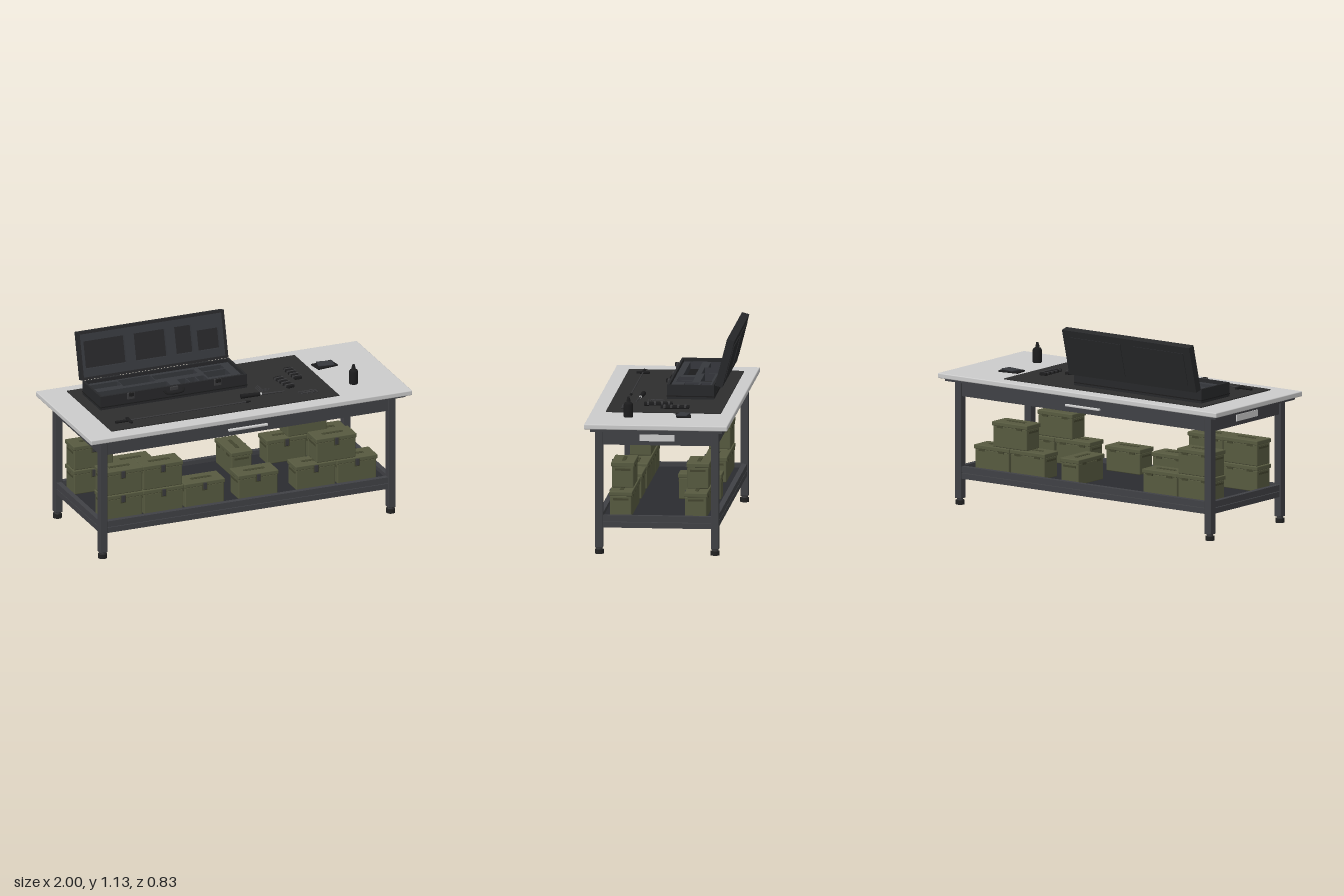
import * as THREE from 'three';
import { RoundedBoxGeometry } from 'three/addons/geometries/RoundedBoxGeometry.js';

const mat = (color) => new THREE.MeshStandardMaterial({ color });
const M = {
  top: mat(0xcccccc), frame: mat(0x404145), shelf: mat(0x2b2c30), rubber: mat(0x222222),
  pad: mat(0x2e2e2e), shell: mat(0x27282a), foam: mat(0x36383d), pocket: mat(0x2a2c30),
  olive: mat(0x575a40), oliveDark: mat(0x43452f), metal: mat(0x3a3a3c), black: mat(0x1c1c1d),
};

function add(parent, name, geometry, material, x = 0, y = 0, z = 0) {
  const mesh = new THREE.Mesh(geometry, material);
  mesh.name = name;
  mesh.position.set(x, y, z);
  parent.add(mesh);
  return mesh;
}
const box = (p, name, m, w, h, d, x, y, z) => add(p, name, new THREE.BoxGeometry(w, h, d), m, x, y, z);
const soft = (p, name, m, w, h, d, x, y, z, r = 0.005) =>
  add(p, name, new RoundedBoxGeometry(w, h, d, 2, r), m, x, y, z);
const cyl = (p, name, m, r1, r2, h, x, y, z, n = 16) =>
  add(p, name, new THREE.CylinderGeometry(r1, r2, h, n), m, x, y, z);
function group(parent, name, x = 0, y = 0, z = 0, turn = 0) {
  const g = new THREE.Group();
  g.name = name;
  g.position.set(x, y, z);
  g.rotation.y = turn;
  parent.add(g);
  return g;
}

// Rectangle [x0, y0, x1, y1] with rectangular holes, extruded along z
function slab(outer, holes, depth) {
  const corners = ([a, b, c, d]) => [[a, b], [c, b], [c, d], [a, d]].map((p) => new THREE.Vector2(...p));
  const shape = new THREE.Shape(corners(outer));
  shape.holes = holes.map((h) => new THREE.Path(corners(h).reverse()));
  return new THREE.ExtrudeGeometry(shape, { depth, bevelEnabled: false });
}

function buildTable(root) {
  const table = group(root, 'table');
  soft(table, 'tabletop', M.top, 2, 0.03, 0.826, 0, 0.752, 0, 0.006);
  box(table, 'topSupport', M.frame, 1.94, 0.018, 0.76, 0, 0.728, 0);
  for (const s of [-1, 1]) {
    for (const t of [-1, 1]) {
      const leg = group(table, 'leg', s * 0.897, 0, t * 0.334);
      soft(leg, 'legPost', M.frame, 0.046, 0.684, 0.046, 0, 0.378, 0, 0.004);
      cyl(leg, 'footStem', M.metal, 0.018, 0.018, 0.02, 0, 0.03, 0);
      cyl(leg, 'foot', M.rubber, 0.026, 0.026, 0.025, 0, 0.0125, 0, 20);
    }
    // Aprons with pulls on the long sides and plates on the short sides
    box(table, 'longApron', M.frame, 1.75, 0.084, 0.025, 0, 0.678, s * 0.334);
    box(table, 'sideApron', M.frame, 0.025, 0.084, 0.622, s * 0.897, 0.678, 0);
    soft(table, 'longPull', M.top, 0.245, 0.012, 0.02, 0, 0.674, s * 0.357, 0.003);
    box(table, 'sidePlate', M.top, 0.006, 0.038, 0.2, s * 0.911, 0.679, 0);
    // Lower shelf rails, each a raised lip above a bottom bar
    for (const [y, h] of [[0.169, 0.032], [0.2065, 0.036]]) {
      box(table, 'longShelfRail', M.frame, 1.75, h, 0.03, 0, y, s * 0.334);
      box(table, 'sideShelfRail', M.frame, 0.03, h, 0.622, s * 0.897, y, 0);
    }
    box(table, 'shelfRib', M.shelf, 1.76, 0.015, 0.015, 0, 0.182, s * 0.12);
  }
  box(table, 'shelfPanel', M.shelf, 1.77, 0.012, 0.645, 0, 0.194, 0);
}

// Storage can: tapered-looking body, overhanging lid, carry strap and latch
function storageCan(parent, x, y, z, turn = 0) {
  const can = group(parent, 'storageCan', x, y, z, turn);
  soft(can, 'canBody', M.olive, 0.242, 0.125, 0.124, 0, 0.0625, 0, 0.006);
  soft(can, 'canLid', M.olive, 0.252, 0.026, 0.134, 0, 0.136, 0, 0.005);
  soft(can, 'carryStrap', M.oliveDark, 0.13, 0.006, 0.022, 0, 0.149, 0, 0.002);
  for (const s of [-1, 1]) {
    box(can, 'sideRidge', M.oliveDark, 0.006, 0.012, 0.09, s * 0.121, 0.105, 0);
    box(can, 'lidHinge', M.oliveDark, 0.04, 0.014, 0.005, s * 0.07, 0.122, -0.066);
  }
  box(can, 'latchPlate', M.oliveDark, 0.032, 0.045, 0.006, 0, 0.118, 0.066);
  soft(can, 'latch', M.metal, 0.022, 0.042, 0.008, 0, 0.122, 0.07, 0.003);
}

function buildCans(root) {
  const cans = group(root, 'storageCans');
  const low = 0.2, high = 0.35, front = 0.217, back = -0.216;
  for (const x of [-0.746, -0.493, -0.237, 0.096, 0.455, 0.711]) storageCan(cans, x, low, front);
  for (const x of [-0.746, -0.497, 0.582]) storageCan(cans, x, high, front);
  for (const x of [-0.746, -0.495, 0.455, 0.711]) storageCan(cans, x, low, back);
  for (const x of [-0.746, 0.582]) storageCan(cans, x, high, back);
  storageCan(cans, 0.135, low, -0.18, Math.PI / 2);
}

function buildCase(root) {
  const W = 0.912, D = 0.271, half = W / 2;
  const holder = group(root, 'openCase', -0.319, 0.771, -0.1195);
  const flat = (name, m, geometry, y) => {
    add(holder, name, geometry, m, 0, y, 0).rotation.x = -Math.PI / 2;
  };
  // Base: wall ring, floor and foam with cutouts
  const outer = [-half, -D / 2, half, D / 2];
  const inner = [-half + 0.013, -D / 2 + 0.013, half - 0.013, D / 2 - 0.013];
  flat('baseWalls', M.shell, slab(outer, [inner], 0.084), 0);
  box(holder, 'baseFloor', M.pocket, W - 0.02, 0.015, D - 0.02, 0, 0.0085, 0);
  const cutouts = [
    [-0.435, 0.035, -0.255, 0.098], [-0.25, 0.016, -0.05, 0.108], [-0.045, 0.035, 0.22, 0.098],
    [-0.435, -0.084, 0.005, -0.014], [0.07, -0.102, 0.122, -0.01], [0.128, -0.102, 0.18, -0.01],
    [0.186, -0.102, 0.238, -0.01], [0.25, 0.045, 0.39, 0.102], [0.25, -0.05, 0.39, 0.032],
  ];
  flat('baseFoam', M.foam, slab(inner, cutouts, 0.048), 0.016);
  box(holder, 'baseSeam', M.black, W + 0.004, 0.006, D + 0.004, 0, 0.018, 0);
  for (const x of [-0.27, 0.27]) {
    soft(holder, 'caseLatch', M.metal, 0.045, 0.04, 0.014, x, 0.066, D / 2 + 0.007, 0.004);
    soft(holder, 'caseLatchHook', M.black, 0.03, 0.022, 0.01, x, 0.078, D / 2 + 0.016, 0.003);
  }
  const handle = new THREE.CatmullRomCurve3([[-0.06, 0.062, 0], [-0.05, 0.05, 0.016],
    [0.05, 0.05, 0.016], [0.06, 0.062, 0]].map(([x, y, z]) => new THREE.Vector3(x, y, z + D / 2)));
  add(holder, 'caseHandle', new THREE.TubeGeometry(handle, 20, 0.006, 8), M.black);
  soft(holder, 'centreCatch', M.metal, 0.05, 0.024, 0.012, 0, 0.07, D / 2 + 0.005, 0.004);

  // Lid leaning back on its hinge
  const lid = group(holder, 'caseLid', 0, 0.083, -0.1405);
  lid.rotation.x = -0.253;
  const lidOuter = [-half, 0, half, 0.28], lidInner = [-half + 0.014, 0.014, half - 0.014, 0.266];
  add(lid, 'lidRim', slab(lidOuter, [lidInner], 0.036), M.shell, 0, 0, -0.036);
  box(lid, 'lidBack', M.shell, W, 0.28, 0.012, 0, 0.14, -0.038);
  const pockets = [[-0.42, 0.062, -0.166, 0.222], [-0.107, 0.062, 0.088, 0.222],
    [0.145, 0.062, 0.25, 0.222], [0.281, 0.062, 0.416, 0.182]];
  add(lid, 'lidFoam', slab(lidInner, pockets, 0.022), M.foam, 0, 0, -0.032);
  for (const x of [-0.225, 0.225]) {
    box(lid, 'lidBackPanel', M.shell, 0.36, 0.2, 0.005, x, 0.14, -0.0455);
    cyl(lid, 'lidHinge', M.metal, 0.007, 0.007, 0.1, x * 1.2, -0.003, -0.008).rotation.z = Math.PI / 2;
  }
}

function buildTools(root) {
  const tools = group(root, 'tools', 0, 0.7715, 0);
  box(tools, 'workMat', M.pad, 1.417, 0.006, 0.663, -0.128, -0.002, -0.005);
  const lying = (p, name, m, r1, r2, len, x, y, z) => {
    cyl(p, name, m, r1, r2, len, x, y, z, 12).rotation.z = -Math.PI / 2;
  };
  // Long rod with crossbar grip
  const rod = group(tools, 'cleaningRod', 0, 0.008, 0.232);
  lying(rod, 'rodShaft', M.metal, 0.004, 0.004, 0.72, -0.32, 0, 0);
  lying(rod, 'rodGrip', M.black, 0.008, 0.008, 0.085, -0.73, 0, 0);
  lying(rod, 'rodTip', M.black, 0.003, 0.008, 0.03, 0.055, 0, 0);
  soft(rod, 'rodCrossbar', M.black, 0.016, 0.014, 0.078, -0.687, 0, 0, 0.004);
  // Screwdriver
  const driver = group(tools, 'screwdriver', 0.17, 0.014, 0.168, -0.07);
  lying(driver, 'driverGrip', M.black, 0.011, 0.014, 0.115, -0.075, 0, 0);
  lying(driver, 'driverCollar', M.top, 0.008, 0.008, 0.012, -0.012, 0, 0);
  lying(driver, 'driverShaft', M.metal, 0.004, 0.006, 0.14, 0.062, -0.002, 0);
  // Angled keys
  for (let i = 0; i < 3; i++) {
    const key = group(tools, 'angledKey', 0.175 + i * 0.012, 0.004, 0.115 - i * 0.014);
    box(key, 'keyLong', M.metal, 0.004, 0.004, 0.07, 0, 0, -0.035);
    box(key, 'keyShort', M.metal, 0.05, 0.004, 0.004, 0.025, 0, 0);
  }
  // Ridged blocks
  for (const [x, z, turn] of [[0.355, 0.045, 0.14], [0.452, -0.06, 0.03]]) {
    const block = group(tools, 'ridgedBlock', x, 0.001, z, turn);
    soft(block, 'blockBody', M.black, 0.046, 0.017, 0.165, 0, 0.0095, 0, 0.004);
    for (let i = 0; i < 4; i++) box(block, 'blockRidge', M.metal, 0.056, 0.012, 0.012, 0, 0.013, -0.06 + i * 0.04);
  }
  // Loose pins
  for (let i = 0; i < 12; i++) {
    const pin = group(tools, 'loosePin', 0.385 + (i % 6) * 0.019, 0.006, 0.212 + Math.floor(i / 6) * 0.024, i * 1.3);
    lying(pin, 'pin', M.metal, 0.003, 0.005, 0.026, 0, 0, 0);
  }
  // Folded cloth pads
  const cloth = group(tools, 'clothPads', 0.68, -0.004, -0.13, 0.14);
  soft(cloth, 'lowerPad', M.black, 0.13, 0.01, 0.085, 0, 0.005, 0, 0.003);
  soft(cloth, 'upperPad', M.foam, 0.095, 0.008, 0.065, 0.005, 0.013, 0, 0.003).rotation.y = -0.3;
  // Oil bottle
  const profile = [[0, 0], [0.025, 0], [0.027, 0.004], [0.027, 0.073], [0.021, 0.084], [0.012, 0.088],
    [0.012, 0.1], [0.009, 0.103], [0.007, 0.117], [0, 0.118]].map((p) => new THREE.Vector2(...p));
  add(tools, 'oilBottle', new THREE.LatheGeometry(profile, 24), M.black, 0.73, -0.004, 0.182);
}

export function createModel() {
  const root = new THREE.Group();
  root.name = 'workbench';
  buildTable(root);
  buildCans(root);
  buildCase(root);
  buildTools(root);
  return root;
}
